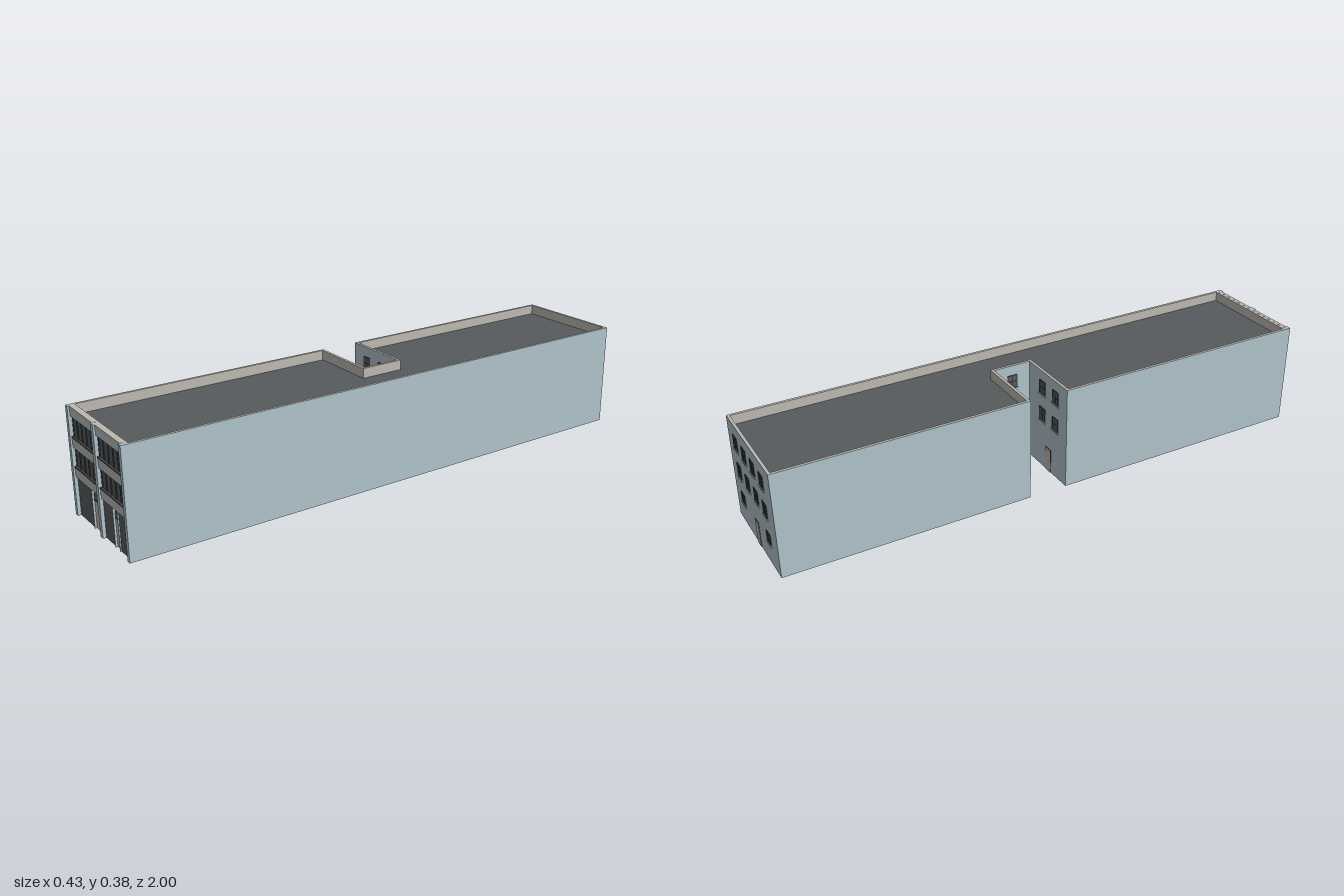
import * as THREE from 'three';

const mat = (name, color) => {
  const m = new THREE.MeshStandardMaterial({ color });
  m.name = name;
  return m;
};

export function createModel() {
  const blue = mat('paleBlueWall', 0xafc2ca);
  const beige = mat('beigePlaster', 0xbbb8b0);
  const dark = mat('darkGrey', 0x575b5e);
  const black = mat('frameGrey', 0x3b3e41);

  const X = 0.204, H = 0.377, FRONT = 0.98, END = 0.998, T = 0.01, ROOF = 0.342;
  const N = { x: 0.045, z0: -0.11, z1: 0.03 }; // courtyard notch

  const model = new THREE.Group();
  model.name = 'building';
  const body = new THREE.Group();
  body.name = 'body';
  body.rotation.y = -0.009;
  model.add(body);

  const add = (parent, name, geo, material) => {
    const m = new THREE.Mesh(geo, material);
    m.name = name;
    parent.add(m);
    return m;
  };
  // box from its two extreme corners
  const box = (parent, name, material, x0, x1, y0, y1, z0, z1) => {
    const g = new THREE.BoxGeometry(x1 - x0, y1 - y0, z1 - z0);
    g.translate((x0 + x1) / 2, (y0 + y1) / 2, (z0 + z1) / 2);
    return add(parent, name, g, material);
  };

  // plan outline seen from above, as (x, -z), inset by t
  const plan = (t) => [
    [-X + t, -FRONT + t], [X - t, -FRONT + t], [X - t, END - t], [-X + t, END - t],
    [-X + t, -N.z0 + t], [N.x + t, -N.z0 + t], [N.x + t, -N.z1 - t], [-X + t, -N.z1 - t],
  ].map(([x, y]) => new THREE.Vector2(x, y));

  // vertical faces along a closed outline
  const curtain = (pts, y0, y1) => {
    const pos = [];
    pts.forEach((a, i) => {
      const b = pts[(i + 1) % pts.length];
      for (const [p, y] of [[a, y0], [b, y0], [b, y1], [a, y0], [b, y1], [a, y1]]) pos.push(p.x, y, -p.y);
    });
    const g = new THREE.BufferGeometry();
    g.setAttribute('position', new THREE.Float32BufferAttribute(pos, 3));
    g.computeVertexNormals();
    return g;
  };
  const flat = (pts, y, up, hole) => {
    const s = new THREE.Shape(pts);
    if (hole) s.holes.push(new THREE.Path(hole));
    const g = new THREE.ShapeGeometry(s);
    if (!up) { // flip to face downwards
      g.index.array.reverse();
      g.attributes.normal.array.forEach((v, i, a) => { a[i] = -v; });
    }
    g.rotateX(-Math.PI / 2);
    g.translate(0, y, 0);
    return g;
  };

  // shell: open underneath, with a parapet round a sunken roof
  add(body, 'outerWalls', curtain(plan(0), 0, H), blue);
  add(body, 'innerWalls', curtain(plan(T).reverse(), 0, H), beige);
  add(body, 'parapetTop', flat(plan(0), H, true, plan(T)), beige);
  add(body, 'wallBase', flat(plan(0), 0, false, plan(T)), beige);
  add(body, 'roof', flat(plan(T), ROOF, true), dark);
  add(body, 'ceiling', flat(plan(T), ROOF - 0.004, false), beige);

  // front pilasters
  for (const [a, b] of [[-X, -0.188], [-0.009, 0.009], [0.188, X]])
    box(body, 'pilaster', blue, a, b, 0, H, FRONT - 0.001, END);

  // two front bays
  const bay = (name, x0, x1) => {
    const g = new THREE.Group();
    g.name = name;
    body.add(g);
    const F = FRONT;
    box(g, 'topBand', beige, x0, x1, 0.365, H + 0.0005, F, 0.992);
    box(g, 'upperLintel', blue, x0, x1, 0.343, 0.365, F, 0.991);
    for (const y of [0.145, 0.247]) {
      box(g, 'lintel', blue, x0, x1, y - 0.01, y, F, 0.991);
      box(g, 'spandrel', beige, x0, x1, y, y + 0.025, F, 0.992);
      box(g, 'windowSill', black, x0 + 0.001, x1 - 0.001, y + 0.025, y + 0.028, F, 0.994);
      const top = y + 0.096, wa = x0 + 0.004, wb = x1 - 0.004;
      box(g, 'windowGlass', dark, wa, wb, y + 0.028, top, F, 0.984);
      box(g, 'windowHead', black, wa, wb, top - 0.002, top, F, 0.987);
      for (let i = 0; i <= 5; i++) {
        const x = wa + (wb - wa) * i / 5;
        box(g, 'mullion', black, x - 0.0013, x + 0.0013, y + 0.028, top, F, 0.987);
      }
    }
    return g;
  };
  const shutter = (g, a, b) => {
    box(g, 'shutter', dark, a, b, 0, 0.135, FRONT, 0.986);
    box(g, 'shutterRail', black, a, b, 0.133, 0.135, FRONT, 0.987);
  };
  const entrance = (g, a, b) => {
    box(g, 'door', beige, a, b, 0, 0.1, FRONT, 0.983);
    box(g, 'transom', dark, a, b, 0.1, 0.135, FRONT, 0.983);
    box(g, 'transomBar', black, a, b, 0.099, 0.101, FRONT, 0.985);
  };
  const post = (g, x) => box(g, 'post', blue, x - 0.002, x + 0.002, 0, 0.135, FRONT, 0.99);

  const rightBay = bay('rightBay', -0.188, -0.009);
  shutter(rightBay, -0.188, -0.074);
  post(rightBay, -0.072);
  entrance(rightBay, -0.07, -0.011);

  const leftBay = bay('leftBay', 0.009, 0.188);
  shutter(leftBay, 0.009, 0.082);
  post(leftBay, 0.084);
  entrance(leftBay, 0.086, 0.117);
  box(leftBay, 'doorHandle', black, 0.1135, 0.116, 0.038, 0.085, 0.983, 0.986);
  post(leftBay, 0.119);
  shutter(leftBay, 0.121, 0.188);

  // openings, built facing +z on a wall at z = 0, then turned into place
  const opening = (name, x, z, turn) => {
    const g = new THREE.Group();
    g.name = name;
    g.position.set(x, 0, z);
    g.rotation.y = turn;
    body.add(g);
    return g;
  };
  const windowAt = (x, z, turn, y, h = 0.048) => {
    const g = opening('window', x, z, turn), w = 0.018, b = y - h / 2, t = y + h / 2;
    box(g, 'glass', dark, -w, w, b, t, -0.001, 0.001);
    for (const s of [-w, 0, w]) box(g, 'frameUpright', black, s - 0.0015, s + 0.0015, b, t, 0, 0.002);
    for (const s of [b, y, t]) box(g, 'frameRail', black, -w, w, s - 0.0015, s + 0.0015, 0, 0.002);
    box(g, 'sill', beige, -0.023, 0.023, b - 0.006, b - 0.001, 0, 0.004);
  };
  const doorAt = (x, z, turn) => {
    const g = opening('doorway', x, z, turn);
    box(g, 'doorFrame', black, -0.019, 0.019, 0, 0.092, -T - 0.001, 0.001);
    box(g, 'doorLeaf', beige, -0.016, 0.016, 0, 0.089, 0, 0.002);
  };

  // back wall
  const columns = [0.13, 0.047, -0.037, -0.12];
  for (const x of columns) for (const y of [0.31, 0.206]) windowAt(x, -END, Math.PI, y);
  for (const x of [columns[0], columns[3]]) windowAt(x, -END, Math.PI, 0.1, 0.038);
  doorAt(0, -END, Math.PI);

  // courtyard walls
  for (const y of [0.315, 0.21]) {
    for (const x of [-0.13, -0.044]) {
      windowAt(x, N.z1, Math.PI, y);
      windowAt(x, N.z0, 0, y);
    }
    windowAt(N.x, -0.04, -Math.PI / 2, y);
  }
  doorAt(-0.085, N.z1, Math.PI);
  doorAt(-0.085, N.z0, 0);
  doorAt(N.x, 0, -Math.PI / 2);

  return model;
}
